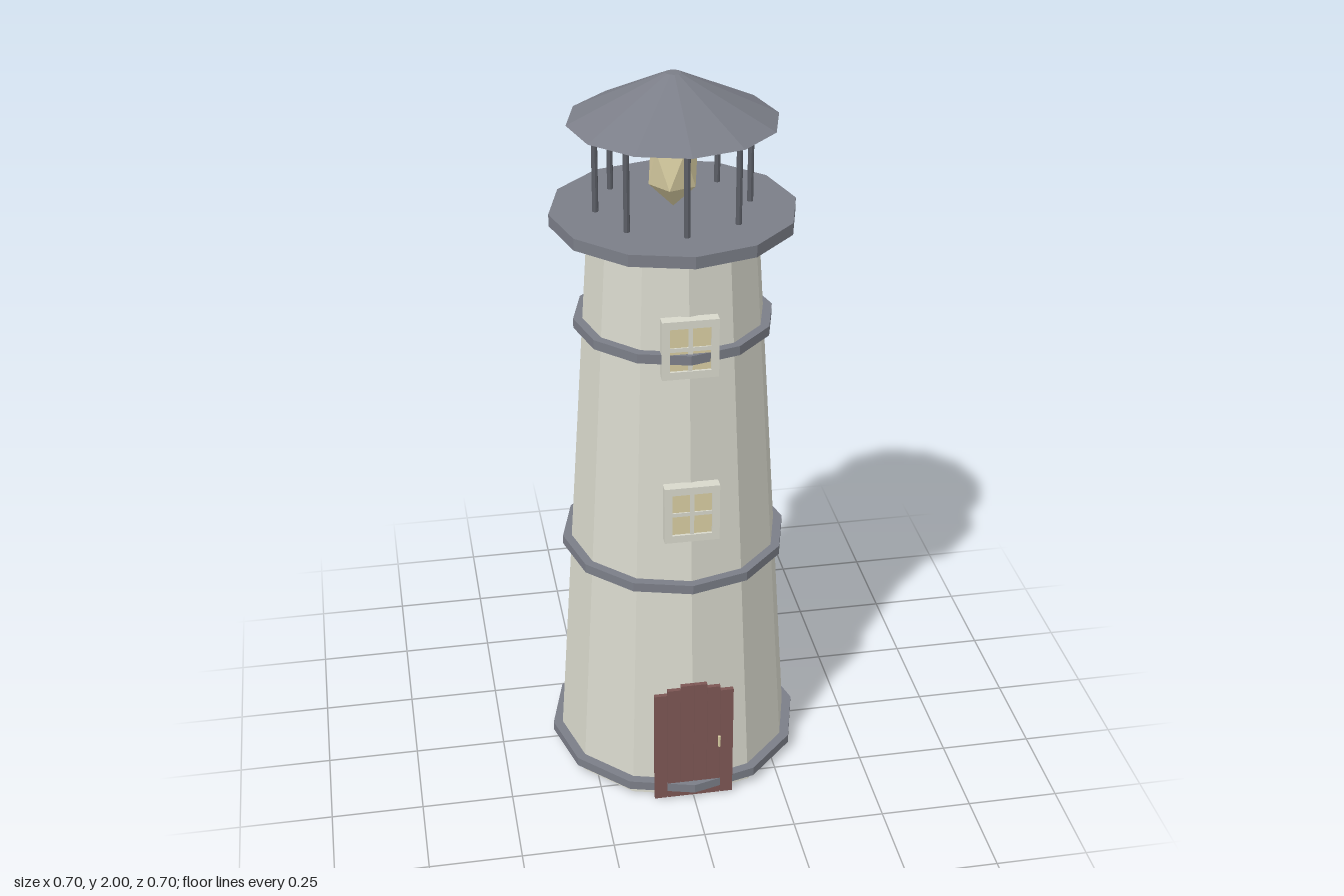
import * as THREE from 'three';
import { ConvexGeometry } from 'three/addons/geometries/ConvexGeometry.js';

const SIDES = 12;

export function createModel() {
  const mat = (name, color) => {
    const m = new THREE.MeshStandardMaterial({ color, flatShading: true });
    m.name = name;
    return m;
  };
  const stone = mat('pale stone', 0xd8d8cc);
  const slate = mat('slate grey', 0x7b7e88);
  const iron = mat('dark iron', 0x5c5f67);
  const wood = mat('red brown wood', 0x7c5654);
  const glow = mat('warm glass', 0xd8cda2);

  const model = new THREE.Group();
  model.name = 'lighthouse';
  const add = (name, geo, material, x = 0, y = 0, z = 0, parent = model) => {
    const mesh = new THREE.Mesh(geo, material);
    mesh.name = name;
    mesh.position.set(x, y, z);
    parent.add(mesh);
    return mesh;
  };
  const box = (w, h, d) => new THREE.BoxGeometry(w, h, d);
  const drum = (top, bottom, h, n = SIDES) => new THREE.CylinderGeometry(top, bottom, h, n);

  // Tapered tower
  add('tower', drum(0.222, 0.329, 1.62), stone, 0, 0.81, 0);

  // Bands around the tower: [radius, centre height]
  [[0.352, 0.039], [0.308, 0.674], [0.264, 1.335], [0.246, 1.597]].forEach(([r, y], i) =>
    add(`band${i + 1}`, drum(r, r, 0.026), slate, 0, y, 0));

  // Gallery deck, posts and roof
  add('galleryDeck', drum(0.32, 0.32, 0.032), slate, 0, 1.629, 0);
  for (let i = 0; i < 8; i++) {
    const a = (i * Math.PI) / 4;
    add(`post${i + 1}`, drum(0.008, 0.008, 0.24, 8), iron, 0.2 * Math.sin(a), 1.762, 0.2 * Math.cos(a));
  }
  add('roof', drum(0.02, 0.27, 0.122), slate, 0, 1.939, 0);

  // Faceted lamp: a stretched icosahedron standing on its tip
  const points = [new THREE.Vector3(0, 0.114, 0), new THREE.Vector3(0, -0.114, 0)];
  for (let i = 0; i < 5; i++) {
    const a = (i * Math.PI * 2) / 5;
    const x = 0.063 * Math.cos(a), z = 0.063 * Math.sin(a);
    points.push(new THREE.Vector3(x, 0.051, z), new THREE.Vector3(-x, -0.051, z));
  }
  add('lamp', new ConvexGeometry(points), glow, 0, 1.76, 0);

  // Windows: frame with opening, glass and cross bars
  const addWindow = (name, y, h, back, front) => {
    const g = new THREE.Group();
    g.name = name;
    g.position.set(0, y, 0);
    model.add(g);
    const rect = (Type, w, hh) => new Type([
      new THREE.Vector2(-w, -hh), new THREE.Vector2(w, -hh),
      new THREE.Vector2(w, hh), new THREE.Vector2(-w, hh)]);
    const shape = rect(THREE.Shape, 0.073, h / 2);
    shape.holes.push(rect(THREE.Path, 0.053, h / 2 - 0.021));
    const frame = new THREE.ExtrudeGeometry(shape, { depth: front - back, bevelEnabled: false });
    add('windowFrame', frame, stone, 0, 0, back, g);
    add('windowGlass', box(0.108, h - 0.04, 0.008), glow, 0, 0, front - 0.011, g);
    add('verticalBar', box(0.011, h - 0.04, 0.008), stone, 0, 0, front - 0.007, g);
    add('crossBar', box(0.108, 0.011, 0.008), stone, 0, 0, front - 0.0075, g);
  };
  addWindow('lowerWindow', 0.898, 0.164, 0.26, 0.29);
  addWindow('upperWindow', 1.362, 0.162, 0.227, 0.257);

  // Plank door with stepped top and a handle
  const door = new THREE.Group();
  door.name = 'door';
  model.add(door);
  [0.38, 0.368, 0.354].forEach((top, i) => {
    for (const s of [-1, 1]) {
      add('doorPlank', box(0.0355, top - 0.004, 0.012), wood,
        s * (i + 0.5) * 0.0367, (top + 0.004) / 2, 0.326, door);
    }
  });
  add('doorHandle', drum(0.004, 0.004, 0.034, 8), glow, 0.07, 0.186, 0.338, door);

  return model;
}
